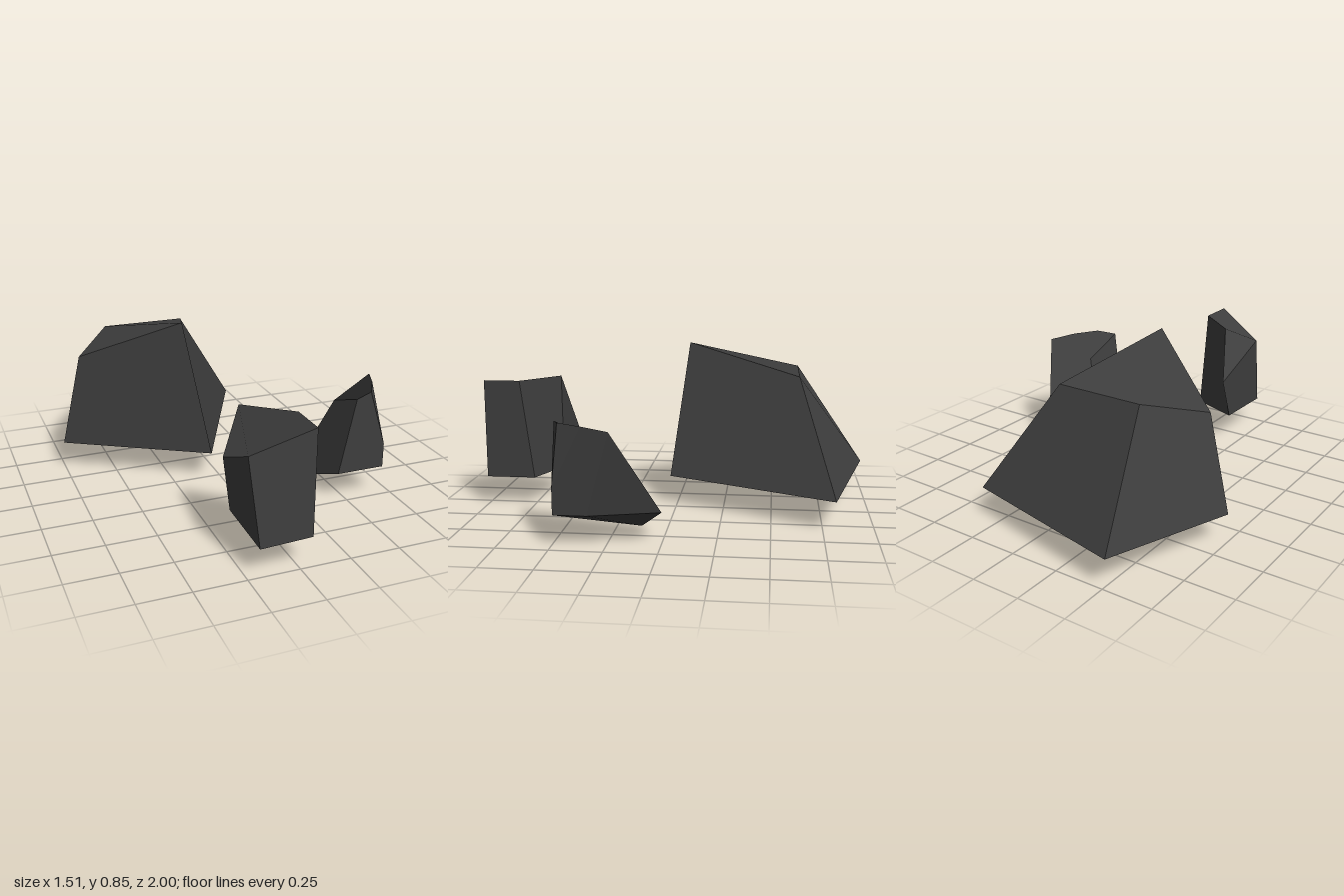
import * as THREE from 'three';

const material = new THREE.MeshStandardMaterial({ color: 0x3e3e3e });

// Builds a faceted rock from named corners and outward-facing corner loops.
// Each loop is one facet: a fan of triangles from its first corner, sharing
// a single averaged normal.
function rock(name, corners, faces) {
  const positions = [];
  const normals = [];
  for (const face of faces) {
    const loop = face.split(' ').map((key) => new THREE.Vector3(...corners[key]));
    const normal = new THREE.Vector3();
    loop.forEach((p, i) => normal.add(p.clone().cross(loop[(i + 1) % loop.length])));
    normal.normalize();
    for (let i = 1; i < loop.length - 1; i++) {
      for (const p of [loop[0], loop[i], loop[i + 1]]) {
        positions.push(p.x, p.y, p.z);
        normals.push(normal.x, normal.y, normal.z);
      }
    }
  }
  const geometry = new THREE.BufferGeometry();
  geometry.setAttribute('position', new THREE.Float32BufferAttribute(positions, 3));
  geometry.setAttribute('normal', new THREE.Float32BufferAttribute(normals, 3));
  const mesh = new THREE.Mesh(geometry, material);
  mesh.name = name;
  return mesh;
}

export function createModel() {
  const group = new THREE.Group();
  group.name = 'rocks';

  // Large boulder: a tapered block with a slanted top (b = base, t = top)
  group.add(rock('largeRock', {
    b0: [-0.515, 0.15, -1.0], b1: [-0.753, 0.15, -0.378], b2: [-0.057, 0.15, 0.036], b3: [0.352, 0.15, -0.81],
    t0: [-0.438, 0.70, -0.63], t1: [-0.645, 0.625, -0.378], t2: [-0.18, 0.85, -0.057], t3: [0, 0.70, -0.63],
  }, [
    'b3 b2 b1 b0', 't0 t1 t2 t3',
    'b1 t1 t0 b0', 'b2 t2 t1 b1', 'b2 b3 t3 t2', 'b0 t0 t3 b3',
  ]));

  // Upright rock whose top facet folds down to a sharp ridge at the back corner
  group.add(rock('uprightRock', {
    b0: [-0.195, 0.15, 0.645], b1: [-0.195, 0.14, 1.0], b2: [0.057, 0.15, 1.0], b3: [0.057, 0.15, 0.745],
    t0: [-0.153, 0.665, 0.64], t1: [-0.216, 0.537, 0.905], t2: [0.057, 0.665, 1.0], t3: [0.057, 0.665, 0.812],
    ridge: [-0.195, 0.38, 0.557],
  }, [
    'b3 b2 b1 b0', 't1 t2 t3 t0 ridge',
    'b0 b1 t1 ridge', 'b0 ridge t0',
    'b2 t2 t1 b1', 'b2 b3 t3 t2', 'b3 b0 t0 t3',
  ]));

  // Leaning rock that reaches down to a point at its back corner
  group.add(rock('leaningRock', {
    tip: [0.35, 0, 0.13], b1: [0.449, 0.15, 0.49], b2: [0.70, 0.15, 0.49], b3: [0.70, 0.15, 0.333], b4: [0.607, 0.15, 0],
    notch: [0.70, 0.275, 0.49],
    t0: [0.52, 0.46, 0.28], t1: [0.516, 0.55, 0.517], t2: [0.615, 0.562, 0.478], t3: [0.692, 0.562, 0.353], t4: [0.753, 0.553, 0.217],
  }, [
    'tip b4 b3 b2 b1', 't0 t1 t2 t3 t4 b4 tip',
    'b1 t1 t0 tip', 'notch t2 t1 b1 b2', 'notch t3 t2',
    'b3 t4 t3 notch b2', 'b3 b4 t4',
  ]));

  return group;
}
